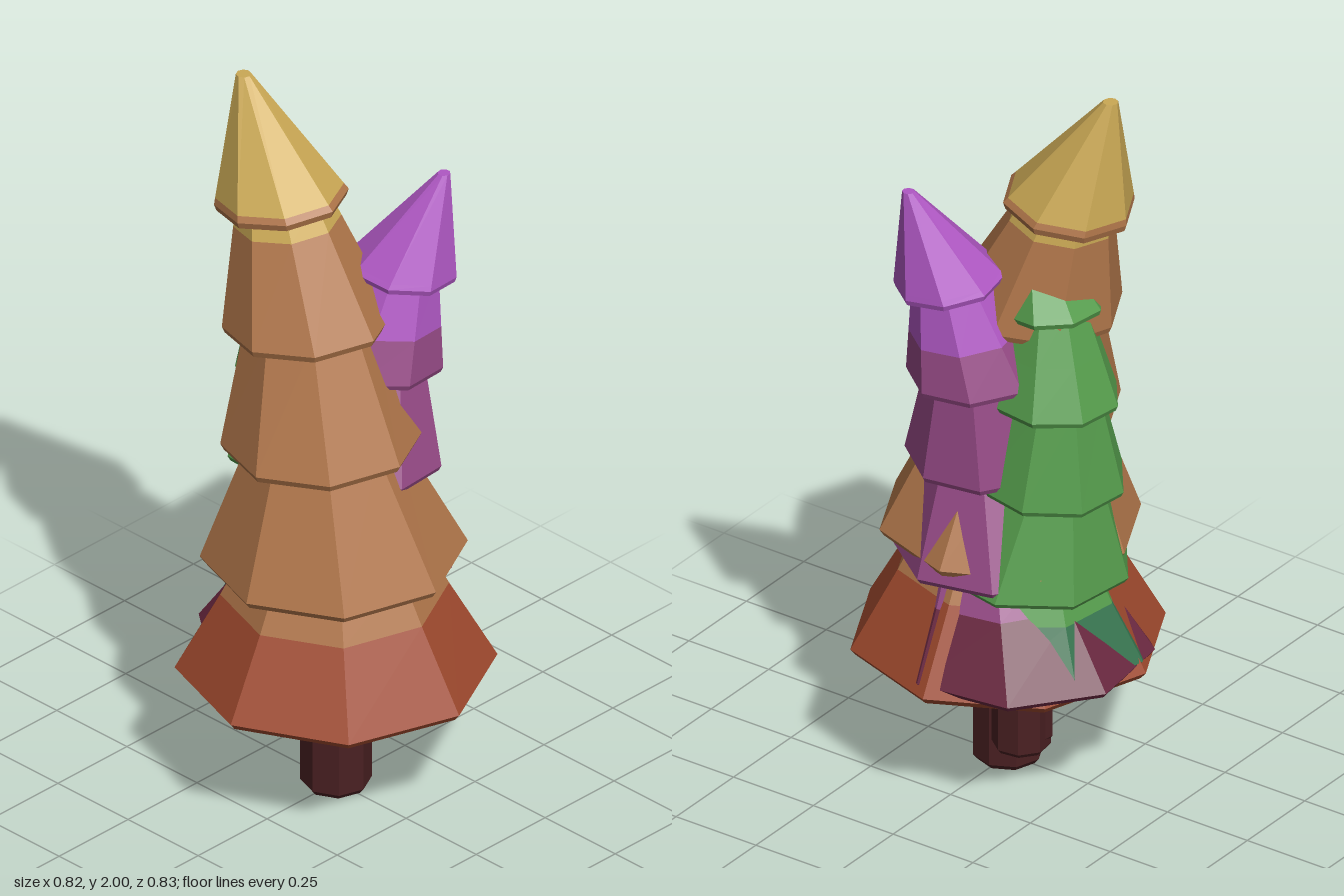
import * as THREE from 'three';

const SIDES = 8;
const mat = (name, color) => {
  const m = new THREE.MeshStandardMaterial({ color });
  m.name = name;
  return m;
};

// Faceted skin through a list of octagonal rings {x, y, z, r, lx, lz}; lx and lz tilt the ring.
function loft(rings, theta) {
  const point = (ring, j) => {
    const a = theta + (j / SIDES) * Math.PI * 2;
    const dx = Math.sin(a) * ring.r, dz = Math.cos(a) * ring.r;
    return [ring.x + dx, ring.y - ring.lx * dx - ring.lz * dz, ring.z + dz];
  };
  const pos = [];
  for (let i = 0; i < rings.length - 1; i++) {
    for (let j = 0; j < SIDES; j++) {
      const a = point(rings[i], j), b = point(rings[i], j + 1);
      const c = point(rings[i + 1], j), d = point(rings[i + 1], j + 1);
      if (rings[i].r > 0) pos.push(...a, ...b, ...d);
      if (rings[i + 1].r > 0) pos.push(...a, ...d, ...c);
    }
  }
  const g = new THREE.BufferGeometry();
  g.setAttribute('position', new THREE.Float32BufferAttribute(pos, 3));
  g.computeVertexNormals();
  return g;
}

// Heights and radii of the five tiers plus the tip, for a tree of scale 1.
const HEIGHT = [0.345, 0.68, 1.02, 1.34, 1.66, 2.0];
const RADIUS = [0.412, 0.342, 0.26, 0.22, 0.172, 0.02];
const NECK = [0.225, 0.185, 0.16, 0.115, 0.02];

function makeTree(name, { scale: s, base, theta, centers, split, skirt, body, crown, rim, trunk }) {
  const tree = new THREE.Group();
  tree.name = name;
  const add = (part, rings, material) => {
    const mesh = new THREE.Mesh(loft(rings, theta), material);
    mesh.name = part;
    tree.add(mesh);
  };
  const ys = HEIGHT.map(h => base + h * s);

  // Ring on the bent axis of the tree
  const lean = i => {
    if (i === 0 || i === 5) return { lx: 0, lz: 0 };
    const h = (ys[i + 1] - ys[i - 1]) / 0.4;
    return {
      lx: (centers[i + 1][0] - centers[i - 1][0]) / h,
      lz: (centers[i + 1][1] - centers[i - 1][1]) / h,
    };
  };
  const ring = (i, r, dy = 0) => ({ x: centers[i][0], y: ys[i] + dy * s, z: centers[i][1], r: r * s, ...lean(i) });
  const mix = (a, b, t) => Object.fromEntries(Object.keys(a).map(k => [k, a[k] + (b[k] - a[k]) * t]));

  // Trunk with a bevelled foot
  const stem = (y, r) => ({ x: centers[0][0], y: base + y * s, z: centers[0][1], r: r * s, lx: 0, lz: 0 });
  add('trunk', [stem(0, 0), stem(0, 0.08), stem(0.015, 0.092), stem(0.5, 0.092)], trunk);

  for (let i = 0; i < 5; i++) {
    const R = RADIUS[i];
    const edge = ring(i, R, 0.018);
    const top = i === 4 ? ring(5, RADIUS[5]) : ring(i + 1, NECK[i], 0.03);
    // Hollow underside and rounded rim
    const inner = i === 0 ? 0.09 : NECK[i - 1] * 0.9;
    const under = [ring(i, inner, i === 0 ? 0.12 : 0.04), ring(i, R * 0.62, 0.025), ring(i, R * 0.965), edge];
    const at = t => mix(edge, top, t);

    if (i === 0) {
      // Lowest tier: dark skirt, lighter shoulder
      const cut = { ...at(0.62), r: 0.292 * s };
      add('skirt', [...under, cut], skirt);
      add('skirtShoulder', [cut, top], body);
    } else if (i === 3) {
      // Fourth tier: the crown colour starts part way up
      const cut = at(split);
      add('upperTier', [...under, cut], body);
      add('upperTierTop', [cut, top], crown);
    } else if (i === 4) {
      // Pointed crown with its rim band
      const cut = at(0.05);
      add('crownRim', [...under, cut], rim);
      add('crown', [cut, top, { ...top, r: 0 }], crown);
    } else {
      add('tier' + (i + 1), [...under, top], body);
    }
  }
  return tree;
}

export function createModel() {
  const bark = mat('dark bark', 0x4a2022);
  const rust = mat('rust', 0xa04a2e);
  const orange = mat('orange brown', 0xb0764a);
  const yellow = mat('golden yellow', 0xcba955);
  const wine = mat('wine', 0x6a2840);
  const plum = mat('plum', 0x964a86);
  const violet = mat('violet', 0xb058c4);
  const green = mat('leaf green', 0x559c4c);
  const teal = mat('deep green', 0x37744f);

  const model = new THREE.Group();
  model.name = 'treeCluster';
  // centers: x and z of each tier, bottom to tip
  model.add(
    makeTree('goldenTree', {
      scale: 1, base: 0, theta: 0.07, split: 0.78,
      centers: [[0, 0], [-0.003, -0.005], [-0.03, -0.02], [-0.02, -0.08], [-0.015, -0.18], [-0.03, -0.3]],
      skirt: rust, body: orange, crown: yellow, rim: orange, trunk: bark,
    }),
    makeTree('violetTree', {
      scale: 0.83, base: 0.085, theta: 0.52, split: 0.42,
      centers: [[0.06, -0.085], [0.06, -0.03], [0.09, -0.005], [0.147, -0.01], [0.2, 0.04], [0.28, 0.11]],
      skirt: wine, body: plum, crown: violet, rim: violet, trunk: bark,
    }),
    makeTree('greenTree', {
      scale: 0.77, base: 0.11, theta: 0.26, split: 0.5,
      centers: [[0.045, -0.09], [0.05, -0.11], [0.06, -0.175], [0.07, -0.2], [0.05, -0.175], [0.04, -0.1]],
      skirt: teal, body: green, crown: green, rim: green, trunk: bark,
    }),
  );
  return model;
}
